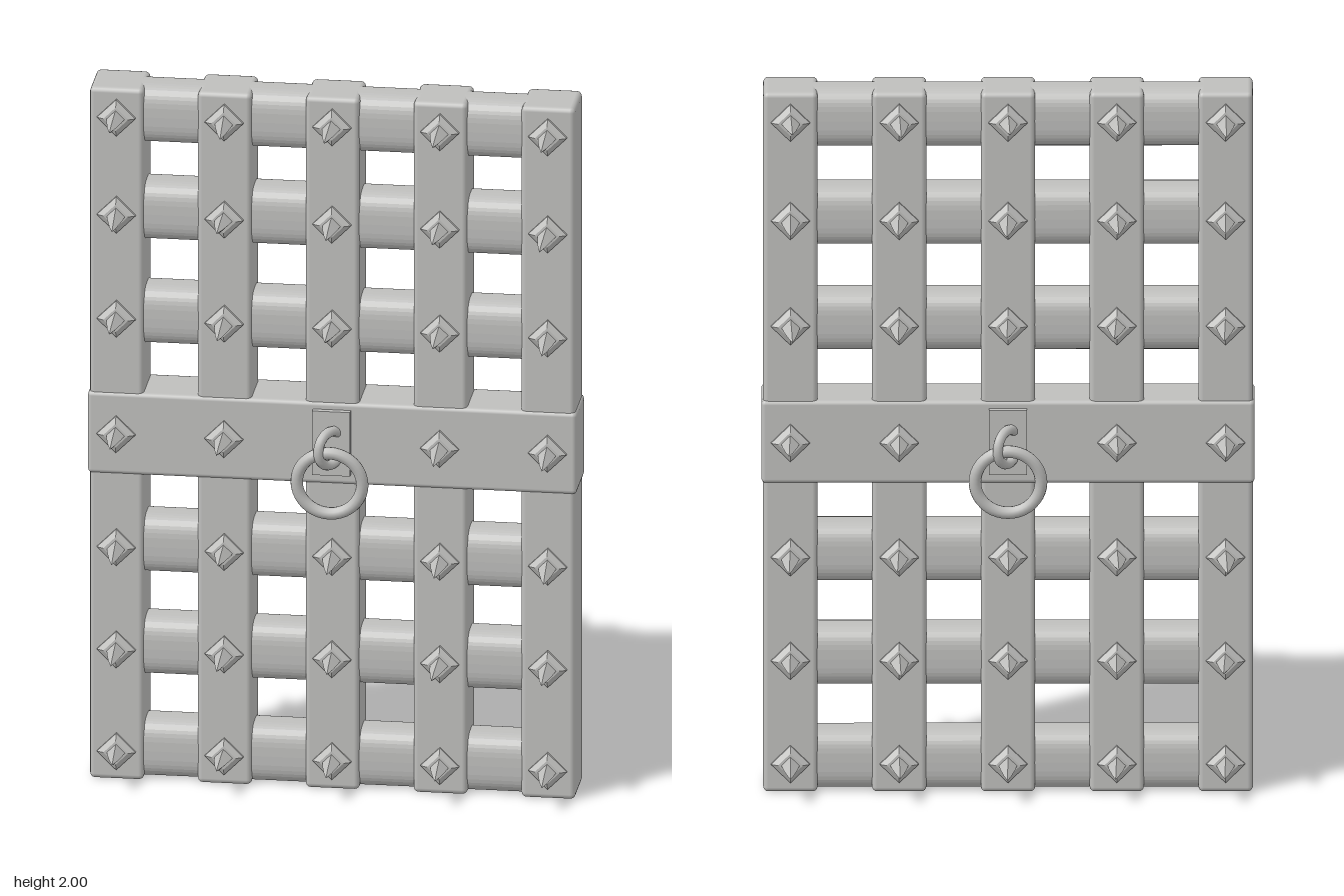
import * as THREE from 'three';
import { RoundedBoxGeometry } from 'three/addons/geometries/RoundedBoxGeometry.js';

export function createModel() {
  const iron = new THREE.MeshStandardMaterial({ color: 0xbfbfbd });
  iron.name = 'grey iron';
  const gate = new THREE.Group();
  gate.name = 'gate';

  const add = (parent, name, geometry, x = 0, y = 0, z = 0) => {
    const mesh = new THREE.Mesh(geometry, iron);
    mesh.name = name;
    mesh.position.set(x, y, z);
    parent.add(mesh);
    return mesh;
  };

  const columns = [-2, -1, 0, 1, 2].map((i) => i * 0.296);
  const rows = [0.083, 0.378, 0.674, 1.335, 1.636, 1.917];
  const bandY = 1.003;

  // Upright bars
  const barGeo = new RoundedBoxGeometry(0.148, 2, 0.157, 2, 0.014);
  columns.forEach((x) => add(gate, 'uprightBar', barGeo, x, 1, 0));

  // Cross bars with a rounded, bulging section
  const section = [];
  for (let i = 0; i < 40; i++) {
    const a = (i / 40) * Math.PI * 2;
    const bulge = (v) => Math.sign(v) * Math.pow(Math.abs(v), 0.62);
    section.push(new THREE.Vector2(0.07 * bulge(Math.cos(a)), 0.083 * bulge(Math.sin(a))));
  }
  const crossGeo = new THREE.LatheGeometry(
    [[0, -0.63], [1, -0.63], [1, 0.63], [0, 0.63]].map((p) => new THREE.Vector2(...p)), 40);
  // Wrap the lathe rings onto the section, then lay the bar along x
  const pos = crossGeo.attributes.position;
  for (let i = 0; i < pos.count; i++) {
    const r = Math.hypot(pos.getX(i), pos.getZ(i));
    const k = Math.round((Math.atan2(pos.getX(i), pos.getZ(i)) / (Math.PI * 2)) * 40 + 40) % 40;
    pos.setXYZ(i, section[k].y * r, pos.getY(i), section[k].x * r);
  }
  crossGeo.rotateZ(Math.PI / 2);
  const crossFlat = crossGeo.toNonIndexed();
  crossFlat.computeVertexNormals();
  rows.forEach((y) => add(gate, 'crossBar', crossFlat, 0, y, 0));

  // Wide middle band
  add(gate, 'middleBand', new RoundedBoxGeometry(1.342, 0.236, 0.168, 2, 0.012), 0, bandY, 0);

  // Four-sided stud plate and spike, pointing along +z
  const faceted = (profile) => {
    const g = new THREE.LatheGeometry(profile.map((p) => new THREE.Vector2(...p)), 4).toNonIndexed();
    g.rotateX(Math.PI / 2);
    g.computeVertexNormals();
    return g;
  };
  const studGeo = faceted([[0.053, -0.004], [0.053, 0.008], [0.034, 0.018], [0, 0.019]]);
  const spikeGeo = faceted([[0.026, 0.01], [0.02, 0.05], [0.011, 0.095], [0, 0.135]]);

  let seed = 7;
  const jitter = (amount) => {
    seed = (seed * 16807) % 2147483647;
    return (seed / 2147483647 - 0.5) * amount;
  };

  // Fittings of one face; the other face repeats them turned about
  const makeFace = (name) => {
    const face = new THREE.Group();
    face.name = name;
    [...rows, bandY].forEach((y) => columns.forEach((x) => {
      const onBand = y === bandY;
      if (onBand && x === 0) return;
      const z = onBand ? 0.084 : 0.0785;
      add(face, 'studPlate', studGeo, x, y, z);
      add(face, 'spike', spikeGeo, x, y, z).rotation.set(jitter(0.1), jitter(0.1), 0);
    }));

    // Knocker: backing plate, link and hanging ring
    add(face, 'knockerPlate', new THREE.BoxGeometry(0.104, 0.185, 0.026), 0, 1.008, 0.088);
    const link = add(face, 'knockerLink', new THREE.TorusGeometry(0.048, 0.014, 10, 28), 0, 1.0, 0.115);
    link.rotation.y = 0.95;
    const ring = add(face, 'knockerRing', new THREE.TorusGeometry(0.09, 0.017, 12, 40), 0, 0.906, 0.135);
    ring.rotation.x = 0.08;
    return face;
  };
  gate.add(makeFace('frontFittings'));
  const back = makeFace('backFittings');
  back.rotation.y = Math.PI;
  gate.add(back);

  // The whole gate stands slightly turned
  gate.rotation.y = -0.125;
  const model = new THREE.Group();
  model.name = 'spikedGate';
  model.add(gate);
  return model;
}
